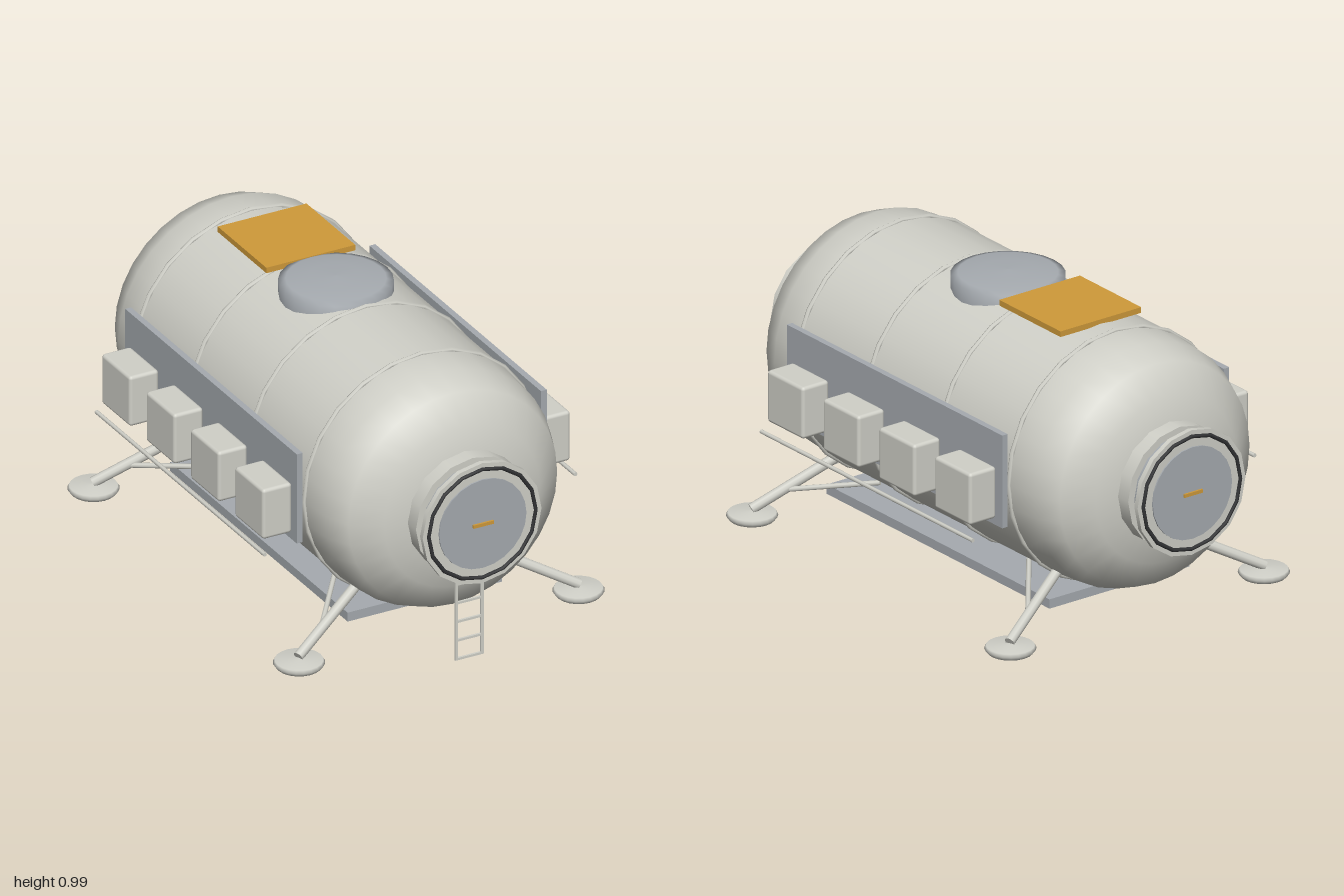
import * as THREE from 'three';
import { RoundedBoxGeometry } from 'three/addons/geometries/RoundedBoxGeometry.js';

const material = (name, color) => {
  const m = new THREE.MeshStandardMaterial({ color });
  m.name = name;
  return m;
};

export function createModel() {
  const model = new THREE.Group();
  model.name = 'habitatModule';
  const hull = material('hull white', 0xd0d0c8);
  const grey = material('panel grey', 0xa6abb0);
  const gold = material('gold', 0xcf9a3a);
  const dark = material('seal black', 0x333436);
  const AXIS = 0.54; // height of the hull axis

  const add = (parent, name, geo, mat, x = 0, y = 0, z = 0) => {
    const mesh = new THREE.Mesh(geo, mat);
    mesh.name = name;
    mesh.position.set(x, y, z);
    parent.add(mesh);
    return mesh;
  };
  const box = (parent, name, mat, w, h, d, x, y, z) =>
    add(parent, name, new THREE.BoxGeometry(w, h, d), mat, x, y, z);

  // Cylinder lying along z, from z0 to z1
  const drum = (parent, name, mat, r, z0, z1, sides = 16) =>
    add(parent, name, new THREE.CylinderGeometry(r, r, z1 - z0, sides).rotateX(Math.PI / 2), mat, 0, 0, (z0 + z1) / 2);

  // Round bar between two points
  const bar = (parent, name, mat, a, b, r, sides = 8) => {
    const p = new THREE.Vector3(...a), q = new THREE.Vector3(...b);
    const mesh = add(parent, name, new THREE.CylinderGeometry(r, r, p.distanceTo(q), sides), mat);
    mesh.position.copy(p).add(q).multiplyScalar(0.5);
    mesh.quaternion.setFromUnitVectors(new THREE.Vector3(0, 1, 0), q.sub(p).normalize());
    return mesh;
  };

  // Pressure hull with domed ends
  const end = [[0.435, 0.58], [0.426, 0.7], [0.39, 0.79], [0.29, 0.853], [0.16, 0.88], [0, 0.89]];
  const profile = [
    ...end.map(([r, z]) => new THREE.Vector2(r, -z)).reverse(),
    ...end.map(([r, z]) => new THREE.Vector2(r, z)),
  ];
  add(model, 'hull', new THREE.LatheGeometry(profile, 32).rotateX(Math.PI / 2), hull, 0, AXIS, 0);

  // Hoops around the hull
  for (const z of [-0.575, -0.2, 0.2, 0.575])
    add(model, 'hoop', new THREE.TorusGeometry(0.436, 0.009, 6, 24), hull, 0, AXIS, z);

  // Docking port at each end
  for (const s of [1, -1]) {
    const port = new THREE.Group();
    port.name = s > 0 ? 'frontPort' : 'backPort';
    port.position.y = AXIS;
    if (s < 0) port.rotation.y = Math.PI;
    drum(port, 'innerFlange', hull, 0.212, 0.86, 0.924);
    drum(port, 'portTunnel', grey, 0.187, 0.92, 0.975);
    drum(port, 'outerFlange', hull, 0.222, 0.97, 0.988);
    add(port, 'portSeal', new THREE.TorusGeometry(0.2, 0.007, 6, 16), dark, 0, 0, 0.989);
    drum(port, 'hatch', grey, 0.163, 0.98, 0.993, 24);
    box(port, 'hatchHandle', gold, 0.076, 0.012, 0.01, 0, 0, 0.995);
    model.add(port);
  }

  // Shallow dome hatch on the roof
  const dome = [[0.19, 0.92], [0.19, 0.982], [0.165, 0.989], [0.09, 0.996], [0, 0.999]];
  add(model, 'roofHatch', new THREE.LatheGeometry(dome.map((p) => new THREE.Vector2(...p)), 24), grey);

  // Roof panel and belly plate
  box(model, 'roofPanel', gold, 0.332, 0.02, 0.33, 0, 0.98, -0.335);
  box(model, 'bellyPlate', grey, 0.576, 0.033, 1.2, 0, 0.086, 0);

  for (const s of [1, -1]) {
    // Equipment panel, lockers and hand rail on each side
    const side = new THREE.Group();
    side.name = s > 0 ? 'leftSide' : 'rightSide';
    box(side, 'sidePanel', grey, 0.022, 0.33, 1.16, s * 0.456, 0.56, 0);
    for (const z of [-0.45, -0.15, 0.15, 0.45])
      add(side, 'locker', new RoundedBoxGeometry(0.11, 0.184, 0.194, 2, 0.012), hull, s * 0.52, 0.511, z);
    bar(side, 'handRail', hull, [s * 0.58, 0.378, -0.57], [s * 0.58, 0.378, 0.57], 0.007);
    model.add(side);

    // Landing legs at the four corners
    for (const f of [1, -1]) {
      const leg = new THREE.Group();
      leg.name = 'landingLeg';
      bar(leg, 'mainStrut', hull, [s * 0.525, 0.045, f * 0.695], [s * 0.24, 0.2, f * 0.59], 0.018, 10);
      bar(leg, 'braceStrut', hull, [s * 0.42, 0.1, f * 0.656], [s * 0.22, 0.16, f * 0.4], 0.009);
      const pad = [[0, 0.01], [0.075, 0.01], [0.086, 0.024], [0.08, 0.034], [0, 0.04]];
      add(leg, 'footPad', new THREE.LatheGeometry(pad.map((p) => new THREE.Vector2(...p)), 20), hull, s * 0.522, 0, f * 0.695);
      model.add(leg);
    }
  }

  // Ladder below the front port
  const ladder = new THREE.Group();
  ladder.name = 'ladder';
  for (const x of [-0.048, 0.048]) box(ladder, 'ladderRail', hull, 0.01, 0.33, 0.008, x, 0.17, 0.9);
  for (let i = 0; i < 5; i++) box(ladder, 'ladderRung', hull, 0.096, 0.008, 0.008, 0, 0.009 + i * 0.069, 0.9);
  model.add(ladder);

  return model;
}
